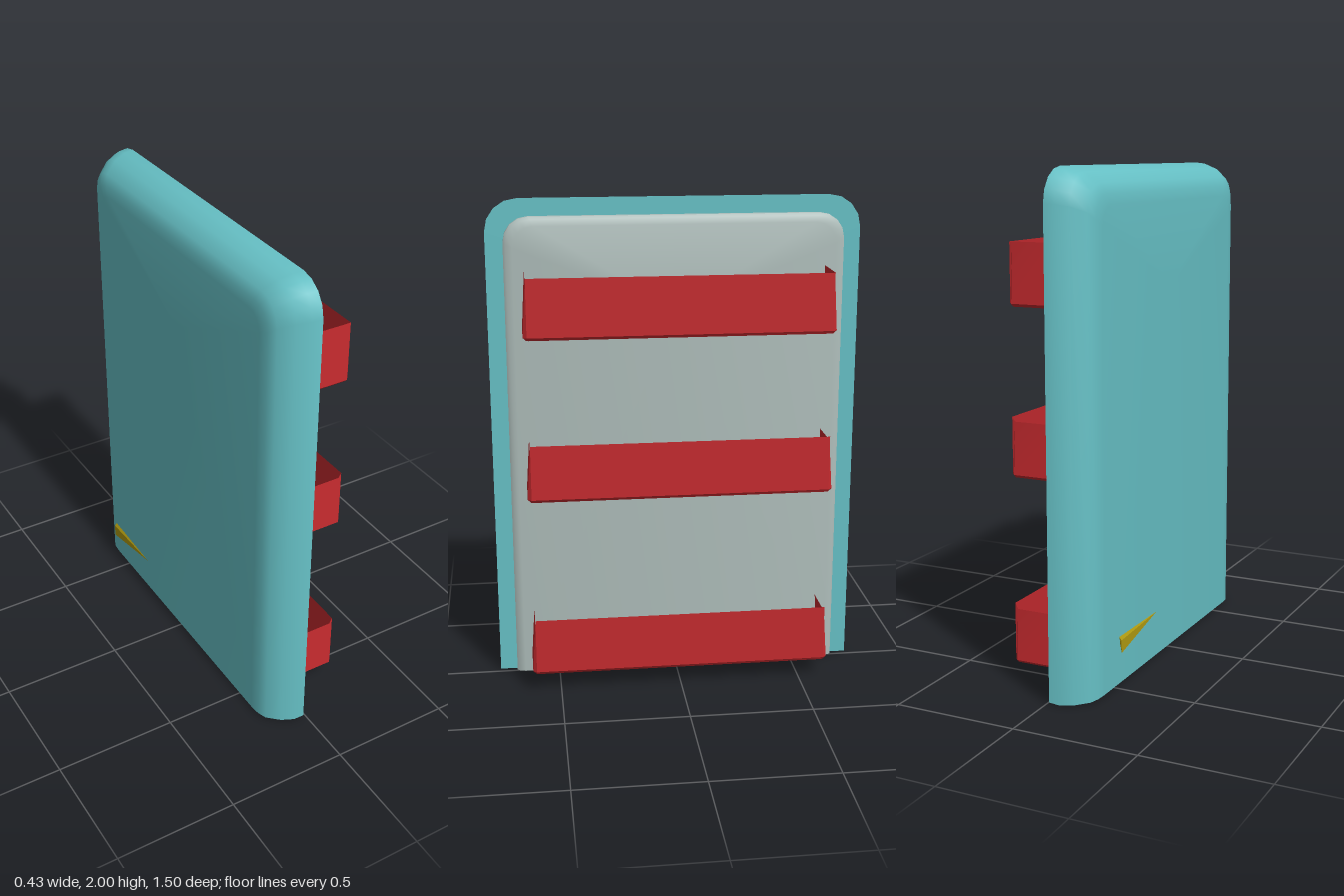
import * as THREE from 'three';
import { toCreasedNormals } from 'three/addons/utils/BufferGeometryUtils.js';

const mat = (color, side = THREE.FrontSide) => new THREE.MeshStandardMaterial({ color, side });

// Skin a list of closed rings ([x, y, z] points), optionally capping the ends
function loft(rings, capStart = true, capEnd = true, crease = 0.6) {
  const n = rings[0].length, pos = rings.flat(2), idx = [];
  for (let r = 0; r < rings.length - 1; r++) {
    for (let i = 0; i < n; i++) {
      const a = r * n + i, b = r * n + (i + 1) % n;
      idx.push(a, a + n, b, a + n, b + n, b);
    }
  }
  const cap = (r, flip) => {
    const c = pos.length / 3;
    for (let k = 0; k < 3; k++) pos.push(rings[r].reduce((s, p) => s + p[k], 0) / n);
    for (let i = 0; i < n; i++) {
      const a = r * n + i, b = r * n + (i + 1) % n;
      if (flip) idx.push(c, b, a); else idx.push(c, a, b);
    }
  };
  if (capStart) cap(0, false);
  if (capEnd) cap(rings.length - 1, true);
  const g = new THREE.BufferGeometry();
  g.setAttribute('position', new THREE.Float32BufferAttribute(pos, 3));
  g.setIndex(idx);
  return toCreasedNormals(g, crease);
}

// Upright panel outline at depth x: rounded top corners, square bottom corners
function panelRing(x, halfWidth, top, radius, bottom) {
  const right = [], steps = 4;
  right.push([x, bottom, halfWidth]);
  for (let i = 0; i <= steps; i++) {
    const a = (i / steps) * Math.PI / 2;
    right.push([x, top - radius + radius * Math.sin(a), halfWidth - radius + radius * Math.cos(a)]);
  }
  const left = right.map(([px, y, z]) => [px, y, -z]).reverse();
  return [...right, ...left];
}

// Open-topped door bin; the front lip may rise above the sides
function binGeometry(y0, sideTop, frontTop) {
  const ring = (inset, halfZ, y, yFront) => {
    const half = [[0.025, y, halfZ], [0.207, y, halfZ], [0.22 - inset, yFront, 0.6 - inset]];
    return [...half.map(([x, py, z]) => [x, py, -z]), ...half.reverse()];
  };
  return loft([
    ring(0.008, 0.602, y0, y0),
    ring(0, 0.615, y0 + 0.012, y0 + 0.012),
    ring(0, 0.601, sideTop, frontTop),
  ], true, false, 0.5);
}

export function createModel() {
  const door = new THREE.Group();
  door.name = 'fridgeDoor';
  const add = (name, geometry, material) => {
    const mesh = new THREE.Mesh(geometry, material);
    mesh.name = name;
    door.add(mesh);
  };

  // Outer shell: [x, side inset, top inset, bottom]
  const shell = [
    [-0.17, 0.15, 0.14, 0.01], [-0.165, 0.105, 0.1, 0.008], [-0.15, 0.07, 0.06, 0.005],
    [-0.1, 0.03, 0.022, 0], [-0.05, 0.006, 0.004, 0], [-0.01, 0, 0, 0.007],
  ];
  add('outerShell', loft(shell.map(([x, dz, dy, y0]) =>
    panelRing(x, 0.75 - dz, 2 - dy, 0.13 - dz * 0.4, y0))), mat(0x66c0c5));

  // Inner liner with a softened rim
  const liner = [[-0.02, 0], [0.012, 0], [0.022, 0.01], [0.03, 0.035]];
  add('innerLiner', loft(liner.map(([x, d]) =>
    panelRing(x, 0.68 - d, 1.93 - d, 0.1 - d * 0.5, 0.01))), mat(0xaebdba));

  // Three door bins
  const red = mat(0xc42a2e, THREE.DoubleSide);
  const bins = [['lowerBin', 0.08, 0.297, 0.32], ['middleBin', 0.825, 1.042, 1.06], ['upperBin', 1.48, 1.722, 1.722]];
  for (const [name, y0, side, front] of bins) add(name, binGeometry(y0, side, front), red);

  // Small tapered sliver floating off the outer face
  const base = [[-0.213, 0.165, -0.54], [-0.204, 0.195, -0.535], [-0.203, 0.228, -0.54], [-0.212, 0.215, -0.54]];
  const tip = base.map(() => [-0.211, 0.23, -0.22]);
  add('taperedTab', loft([base, tip], true, false, 0.3), mat(0xb09a10, THREE.DoubleSide));

  return door;
}
